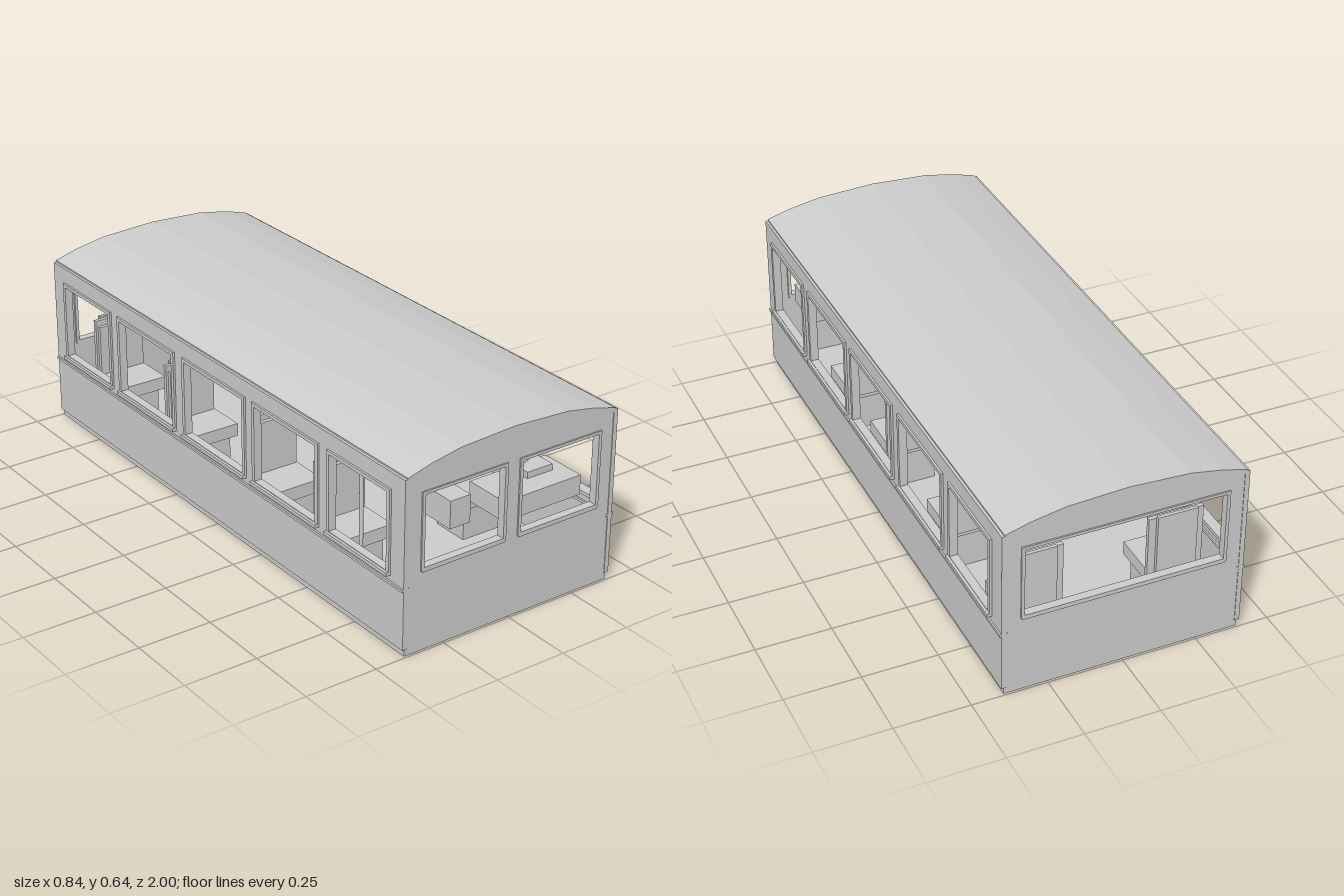
import * as THREE from 'three';

const paint = new THREE.MeshStandardMaterial({ color: 0xcccccc });
paint.name = 'light grey';

function add(parent, name, geometry, x = 0, y = 0, z = 0) {
  const mesh = new THREE.Mesh(geometry, paint);
  mesh.name = name;
  mesh.position.set(x, y, z);
  parent.add(mesh);
  return mesh;
}

// Box given by its limits on each axis
function block(parent, name, [x0, x1], [y0, y1], [z0, z1]) {
  return add(parent, name, new THREE.BoxGeometry(x1 - x0, y1 - y0, z1 - z0),
    (x0 + x1) / 2, (y0 + y1) / 2, (z0 + z1) / 2);
}

function rectangle(Type, [a0, a1], [b0, b1]) {
  return new Type([[a0, b0], [a1, b0], [a1, b1], [a0, b1]].map(p => new THREE.Vector2(...p)));
}

// Flat panel with rectangular openings, extruded along z
function panel(across, up, openings, depth) {
  const shape = rectangle(THREE.Shape, across, up);
  for (const [a, b] of openings) shape.holes.push(rectangle(THREE.Path, a, b));
  return new THREE.ExtrudeGeometry(shape, { depth, bevelEnabled: false });
}

const grow = ([a, b], d) => [a - d, b + d];

function buildShell(bus) {
  block(bus, 'floor', [-0.393, 0.393], [0, 0.025], [-0.993, 0.993]);

  // Side walls, window frames, sills and belt strips
  const windows = [[0.63, 0.925], [0.235, 0.57], [-0.165, 0.178], [-0.565, -0.23], [-0.92, -0.625]];
  const sideUp = [0.26, 0.525];
  const openings = windows.map(([a, b]) => [[-b, -a], sideUp]);
  for (const s of [-1, 1]) {
    const side = new THREE.Group();
    side.name = s > 0 ? 'leftSide' : 'rightSide';
    bus.add(side);
    const wall = add(side, 'sideWall', panel([-0.997, 0.997], [0.025, 0.587], openings, 0.016));
    wall.rotation.y = Math.PI / 2;
    wall.position.x = s > 0 ? 0.386 : -0.402;
    for (const [a, up] of openings) {
      const frame = add(side, 'windowFrame', panel(grow(a, 0.008), grow(up, 0.008), [[grow(a, -0.006), grow(up, -0.004)]], 0.028));
      frame.rotation.y = Math.PI / 2;
      frame.position.x = s > 0 ? 0.381 : -0.409;
      block(side, 'windowSill', s > 0 ? [0.386, 0.418] : [-0.418, -0.386], [0.25, 0.262], [-a[1] - 0.008, -a[0] + 0.008]);
    }
    block(side, 'beltStrip', s > 0 ? [0.38, 0.408] : [-0.408, -0.38], [0.223, 0.232], [-0.997, 0.997]);
  }

  // End walls: two windscreens in front, one wide window behind
  const endUp = [0.28, 0.525];
  const ends = {
    front: [[[-0.333, -0.03], endUp], [[0.03, 0.333], endUp]],
    rear: [[[-0.333, 0.333], endUp]],
  };
  for (const [name, holes] of Object.entries(ends)) {
    const front = name === 'front';
    add(bus, name + 'Wall', panel([-0.386, 0.386], [0.025, 0.585], holes, 0.016), 0, 0, front ? 0.979 : -0.995);
    for (const [a, up] of holes) {
      add(bus, name + 'WindowFrame', panel(grow(a, 0.007), grow(up, 0.007), [[grow(a, -0.004), grow(up, -0.003)]], 0.028),
        0, 0, front ? 0.972 : -1);
      block(bus, name + 'WindowSill', grow(a, 0.003), [0.268, 0.278], front ? [0.975, 1] : [-1, -0.975]);
    }
  }

  // Arched roof in flat facets
  const arch = [[-0.393, 0.58], [0.393, 0.58], [0.393, 0.592], [0.31, 0.615], [0.2, 0.635],
    [0, 0.645], [-0.2, 0.635], [-0.31, 0.615], [-0.393, 0.592]];
  const roof = new THREE.Shape(arch.map(p => new THREE.Vector2(...p)));
  add(bus, 'roof', new THREE.ExtrudeGeometry(roof, { depth: 1.994, bevelEnabled: false }), 0, 0, -0.997);
}

function buildSeat(bus, x, z) {
  const seat = new THREE.Group();
  seat.name = 'seat';
  seat.position.set(x, 0, z);
  bus.add(seat);
  block(seat, 'seatBase', [-0.075, 0.075], [0.025, 0.15], [0, 0.13]);
  block(seat, 'seatCushion', [-0.087, 0.087], [0.15, 0.195], [-0.005, 0.16]);
  block(seat, 'backPad', [-0.085, 0.085], [0.19, 0.374], [0.006, 0.02]);
  block(seat, 'backFrame', [-0.093, 0.093], [0.15, 0.395], [-0.008, 0.006]);
  block(seat, 'backPanel', [-0.068, 0.068], [0.17, 0.402], [-0.02, -0.008]);
}

function buildCab(bus) {
  block(bus, 'dashboard', [0.03, 0.332], [0.285, 0.353], [0.76, 0.925]);
  block(bus, 'columnMount', [0.182, 0.282], [0.353, 0.375], [0.735, 0.85]);
  block(bus, 'fareBox', [-0.124, -0.047], [0.28, 0.375], [0.735, 0.86]);

  // Steering wheel leaning back
  const wheel = new THREE.Group();
  wheel.name = 'steeringWheel';
  wheel.position.set(0.204, 0.428, 0.767);
  wheel.rotation.x = -0.37;
  bus.add(wheel);
  const ring = new THREE.Shape().absarc(0, 0, 0.062, 0, Math.PI * 2);
  ring.holes.push(new THREE.Path().absarc(0, 0, 0.049, 0, Math.PI * 2));
  add(wheel, 'wheelRim', new THREE.ExtrudeGeometry(ring, { depth: 0.016, bevelEnabled: false, curveSegments: 10 }), 0, 0, -0.008);
  block(wheel, 'wheelSpoke', [-0.05, 0.05], [-0.006, 0.002], [-0.004, 0.004]);
  add(bus, 'steeringColumn', new THREE.CylinderGeometry(0.012, 0.012, 0.07, 12), 0.204, 0.392, 0.775);

  // Grab poles beside the entrance
  for (const z of [0.915, 0.645]) {
    add(bus, 'grabPole', new THREE.CylinderGeometry(0.007, 0.007, 0.56, 10), -0.294, 0.303, z);
  }
}

export function createModel() {
  const bus = new THREE.Group();
  bus.name = 'busBody';
  buildShell(bus);
  for (const z of [0.45, 0.08, -0.405, -0.86]) {
    for (const x of [-0.235, 0.235]) buildSeat(bus, x, z);
  }
  buildCab(bus);
  return bus;
}
